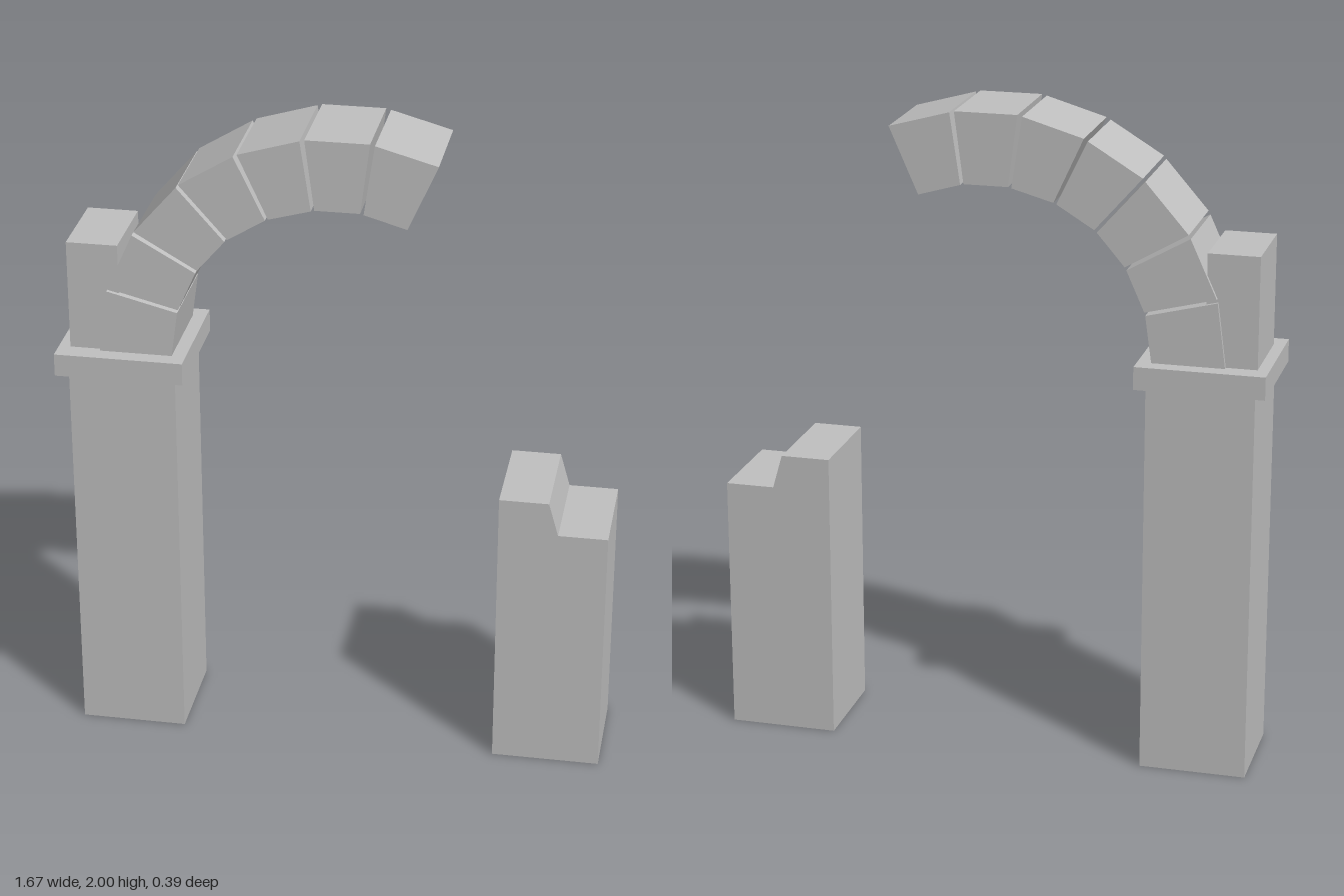
import * as THREE from 'three';

const stone = new THREE.MeshStandardMaterial({ color: 0xc0c0c0 });
stone.name = 'stone';
const openStone = stone;
openStone.side = THREE.DoubleSide;

// Box given by its x and y limits, centred on z
function block(name, x0, x1, y0, y1, depth) {
  const mesh = new THREE.Mesh(new THREE.BoxGeometry(x1 - x0, y1 - y0, depth), stone);
  mesh.position.set((x0 + x1) / 2, (y0 + y1) / 2, 0);
  mesh.name = name;
  return mesh;
}

// Front outline extruded along z and centred
function prism(name, points, depth) {
  const shape = new THREE.Shape(points.map(([x, y]) => new THREE.Vector2(x, y)));
  const geometry = new THREE.ExtrudeGeometry(shape, { depth, bevelEnabled: false });
  geometry.translate(0, 0, -depth / 2);
  const mesh = new THREE.Mesh(geometry, stone);
  mesh.name = name;
  return mesh;
}

// Remove the triangles lying on the ground so the underside is open
function openBottom(mesh) {
  const p = mesh.geometry.attributes.position;
  const kept = [];
  for (let i = 0; i < p.count; i += 3) {
    const onGround = [0, 1, 2].every((k) => Math.abs(p.getY(i + k)) < 1e-5);
    if (!onGround) for (let k = 0; k < 3; k++) kept.push(p.getX(i + k), p.getY(i + k), p.getZ(i + k));
  }
  const geometry = new THREE.BufferGeometry();
  geometry.setAttribute('position', new THREE.Float32BufferAttribute(kept, 3));
  geometry.computeVertexNormals();
  mesh.geometry = geometry;
  return mesh;
}

export function createModel() {
  const model = new THREE.Group();
  model.name = 'ruinedArch';

  // Tall standing pillar with its capital and a remnant of wall
  model.add(block('pillar', -0.8, -0.475, 0, 1.215, 0.325));
  model.add(block('capital', -0.835, -0.445, 1.215, 1.285, 0.39));
  model.add(block('wallStub', -0.8, -0.645, 1.285, 1.625, 0.265));

  // Arch stones: outer start, inner start, inner end, outer end
  const stones = [
    [[-0.706, 1.285], [-0.487, 1.285], [-0.467, 1.427], [-0.68, 1.481]],
    [[-0.677, 1.491], [-0.464, 1.437], [-0.409, 1.56], [-0.597, 1.667]],
    [[-0.591, 1.678], [-0.404, 1.569], [-0.32, 1.667], [-0.461, 1.827]],
    [[-0.454, 1.836], [-0.312, 1.674], [-0.199, 1.743], [-0.291, 1.935]],
    [[-0.279, 1.942], [-0.19, 1.747], [-0.064, 1.782], [-0.096, 1.996]],
    [[-0.082, 2], [-0.054, 1.785], [0.08, 1.785], [0.108, 2]],
    [[0.122, 1.996], [0.09, 1.782], [0.218, 1.745], [0.306, 1.945]],
  ];
  const arch = new THREE.Group();
  arch.name = 'brokenArch';
  stones.forEach((corners, i) => arch.add(prism(`archStone${i + 1}`, corners, 0.29)));
  model.add(arch);

  // Short broken pillar with a notched top and open underside
  model.add(openBottom(prism('brokenPillar', [
    [0.505, 0], [0.835, 0], [0.835, 0.795], [0.685, 0.795], [0.655, 0.9], [0.505, 0.9],
  ], 0.325)));

  return model;
}
